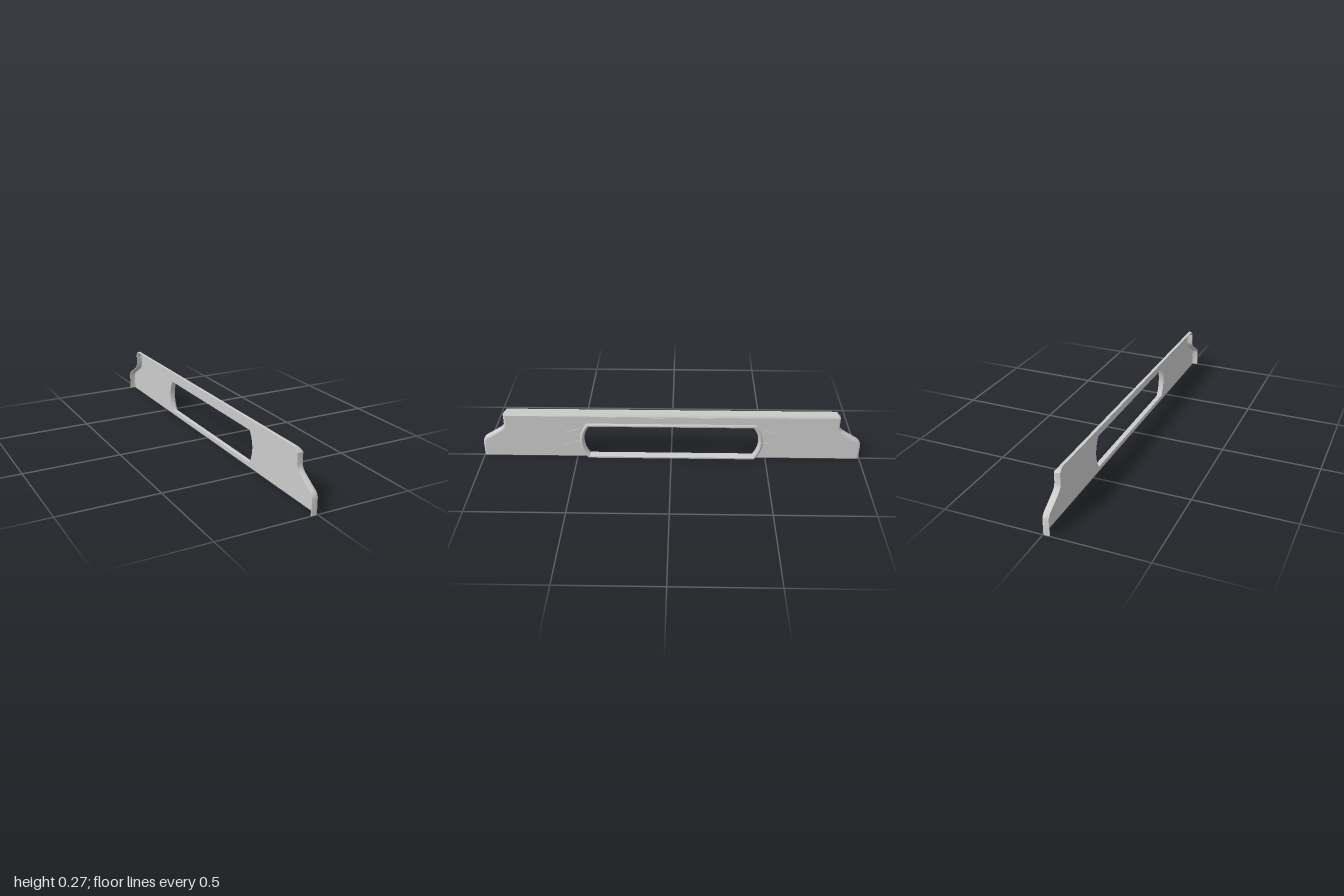
import * as THREE from 'three';
import { toCreasedNormals } from 'three/addons/utils/BufferGeometryUtils.js';

const FACE = 0.003, BACK = -0.032, WALL = 0.005;
const mat = new THREE.MeshStandardMaterial({ color: 0xcccccc, side: THREE.DoubleSide });

// Outline of the cover (z, y) at depth x, pulled inwards by t
function outline(x, t = 0) {
  const r = 0.012, d = Math.max(0, x - (FACE - r));
  const s = r - Math.sqrt(Math.max(0, r * r - d * d)) + t;       // rounded end edges
  const k = Math.max(0, (x + 0.017) / (FACE + 0.017));           // top chamfer
  const top = 0.267 - 0.024 * k - t, f = Math.max(0.05, 1 - k);
  const half = [
    [1 - s, 0], [1 - s, 0.08 - s * 0.2], [0.997 - s, 0.092 - s * 0.4], [0.985 - s * 0.6, 0.107 - s * 0.8],
    [0.94 - s * 0.5, 0.134 - s * 0.8], [0.9 - s * 0.5, 0.159 - s * 0.8], [0.886 - s * 0.8, 0.172 - s * 0.5],
    [0.88 - s, 0.19 - s * 0.2], [0.88 - s, top - 0.022 * f], [0.88 - s - 0.02 * f, top],
  ];
  return [...half, ...half.map(([z, y]) => [-z, y]).reverse()];
}

// Window outline (z, y), grown by o: straight long sides and arced ends
function windowLoop(o) {
  const R = 0.143 + o, h = 0.088 + o, a = Math.asin(h / R), n = 20, pts = [];
  for (const side of [1, -1]) {
    for (let i = 0; i <= n; i++) {
      const g = -a + (2 * a * i) / n;
      pts.push([side * (0.319 + R * Math.cos(g)), 0.107 + side * R * Math.sin(g)]);
    }
  }
  return pts;
}

// Skin through rows of [x, y, z] points
function loft(rows, closed) {
  const n = rows[0].length, index = [];
  for (let i = 0; i < rows.length - 1; i++) {
    for (let j = 0; j < (closed ? n : n - 1); j++) {
      const a = i * n + j, b = i * n + ((j + 1) % n);
      index.push(a, b, a + n, b, b + n, a + n);
    }
  }
  const g = new THREE.BufferGeometry();
  g.setAttribute('position', new THREE.Float32BufferAttribute(rows.flat(2), 3));
  g.setIndex(index);
  return toCreasedNormals(g, 0.6);
}

const at = (x, pts) => pts.map(([z, y]) => [x, y, z]);
const toVec = (pts) => pts.map(([z, y]) => new THREE.Vector2(-z, y));

// Flat slab in the zy plane from x0 to x1
function slab(pts, x0, x1, hole) {
  const shape = new THREE.Shape(toVec(pts));
  if (hole) shape.holes.push(new THREE.Path(toVec(hole)));
  const g = new THREE.ExtrudeGeometry(shape, { depth: x1 - x0, bevelEnabled: false });
  return g.rotateY(Math.PI / 2).translate(x0, 0, 0);
}

export function createModel() {
  const group = new THREE.Group();
  const add = (name, geometry) => {
    const m = new THREE.Mesh(geometry, mat);
    m.name = name;
    group.add(m);
    return m;
  };

  // Front plate with the window opening
  add('frontPlate', slab(outline(FACE), FACE - WALL, FACE, windowLoop(0)));

  // Turned-back flange: outer wall, rear rim, inner wall
  const outer = [FACE, 0.0015, -0.001, -0.005, -0.009, -0.017, BACK].map((x) => at(x, outline(x)));
  const inner = [BACK, -0.017, -0.009, FACE - WALL].map((x) => at(x, outline(x, WALL)));
  add('flange', loft([...outer, ...inner], false));

  // Window collar: neck with a flared lip, as [x, growth]
  const profile = [
    [-0.002, -0.003], [-0.002, 0.005], [0.003, 0.006], [0.006, 0.002], [0.009, 0], [0.016, 0], [0.02, 0.004],
    [0.023, 0.019], [0.03, 0.011], [0.03, 0.006], [0.02, -0.003], [-0.002, -0.003],
  ];
  add('windowCollar', loft(profile.map(([x, o]) => at(x, windowLoop(o))), true));

  // Pointed raised marks beside the window
  for (const side of [1, -1]) {
    for (const [tip, low, high] of [[0.145, 0.113, 0.172], [0.07, 0.042, 0.101]]) {
      add('arrowMark', slab([[side * 0.567, tip], [side * 0.475, high], [side * 0.475, low]], FACE - 0.001, 0.006));
    }
  }

  // Slim ridge above the window
  const ridge = add('topRidge', new THREE.BoxGeometry(0.003, 0.005, 0.66));
  ridge.position.set(FACE, 0.236, 0);

  return group;
}
